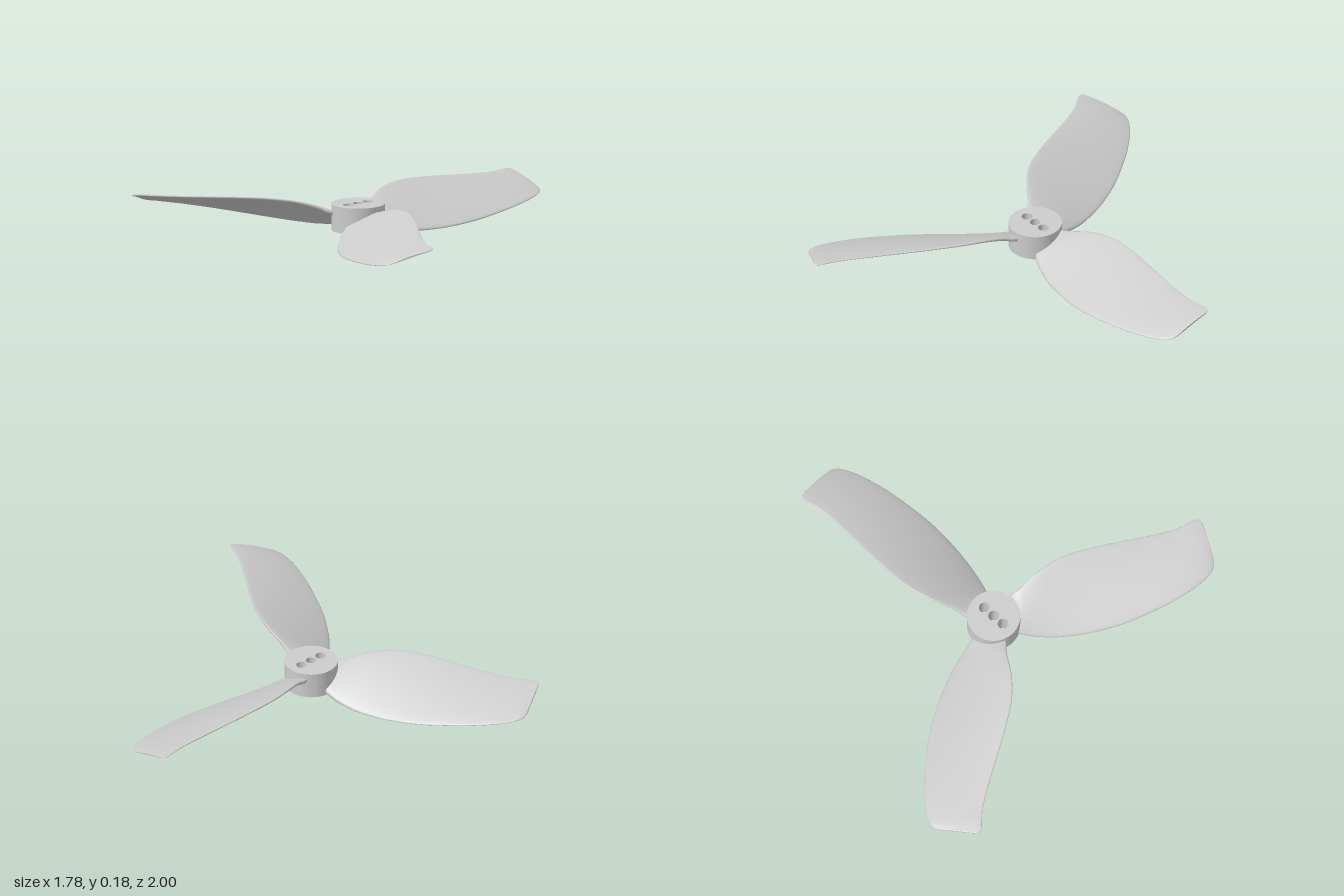
import * as THREE from 'three';
import { toCreasedNormals } from 'three/addons/utils/BufferGeometryUtils.js';

// Blade stations: radius, back z, front z, back y, front y, thickness
const STATIONS = [
  [0.095, -0.08, 0.08, 0.118, 0.045, 0.036],
  [0.125, -0.09, 0.096, 0.125, 0.036, 0.034],
  [0.17, -0.102, 0.115, 0.142, 0.023, 0.03],
  [0.26, -0.141, 0.144, 0.168, 0.011, 0.025],
  [0.36, -0.17, 0.165, 0.18, 0.009, 0.022],
  [0.46, -0.18, 0.178, 0.181, 0.012, 0.02],
  [0.61, -0.176, 0.183, 0.173, 0.023, 0.018],
  [0.81, -0.161, 0.163, 0.158, 0.044, 0.015],
  [0.955, -0.156, 0.131, 0.15, 0.06, 0.013],
  [1.03, -0.166, 0.102, 0.15, 0.069, 0.011],
  [1.065, -0.172, 0.081, 0.149, 0.075, 0.01],
  [1.085, -0.168, 0.06, 0.147, 0.079, 0.009],
  [1.093, -0.155, 0.042, 0.144, 0.084, 0.008],
  [1.096, -0.135, 0.015, 0.138, 0.092, 0.008],
];
const RINGS = 78, LOOP = 40;

function bladeGeometry() {
  const planCurve = new THREE.CatmullRomCurve3(STATIONS.map(s => new THREE.Vector3(s[0], s[1], s[2])), false, 'catmullrom');
  const pitchCurve = new THREE.CatmullRomCurve3(STATIONS.map(s => new THREE.Vector3(s[3], s[4], s[5])), false, 'catmullrom');
  const pos = [], idx = [];
  for (let i = 0; i <= RINGS; i++) {
    const plan = planCurve.getPoint(i / RINGS), pitch = pitchCurve.getPoint(i / RINGS);
    const chord = plan.z - plan.y;
    // Upper skin runs back to front, lower skin returns
    for (let j = 0; j < LOOP; j++) {
      const a = (j / LOOP) * Math.PI * 2;
      const t = (1 - Math.cos(a)) / 2;
      const camber = 0.1 * chord * t * (1 - t);
      const skin = Math.sign(Math.sin(a)) * Math.sqrt(Math.abs(Math.sin(a))) * pitch.z / 2;
      pos.push(plan.x, THREE.MathUtils.lerp(pitch.x, pitch.y, t) + camber + skin, plan.y + chord * t);
    }
  }
  for (let i = 0; i < RINGS; i++) {
    for (let j = 0; j < LOOP; j++) {
      const a = i * LOOP + j, b = i * LOOP + (j + 1) % LOOP;
      idx.push(a, b, a + LOOP, b, b + LOOP, a + LOOP);
    }
  }
  // Flat tip cap with its own vertices
  const start = pos.length / 3;
  pos.push(...pos.slice(RINGS * LOOP * 3));
  for (let j = 1; j < LOOP - 1; j++) idx.push(start, start + j, start + j + 1);

  const geo = new THREE.BufferGeometry();
  geo.setAttribute('position', new THREE.Float32BufferAttribute(pos, 3));
  geo.setIndex(idx);
  geo.computeVertexNormals();
  return geo;
}

// Short drum pierced by three mounting holes
function hubGeometry() {
  const shape = new THREE.Shape().absarc(0, 0, 0.128, 0, Math.PI * 2, false);
  for (const x of [-0.061, 0, 0.061]) {
    shape.holes.push(new THREE.Path().absarc(x, 0, 0.026, 0, Math.PI * 2, true));
  }
  const geo = new THREE.ExtrudeGeometry(shape, { depth: 0.128, bevelEnabled: false, curveSegments: 48 });
  geo.rotateX(-Math.PI / 2);
  geo.translate(0, 0.026, 0);
  return toCreasedNormals(geo, Math.PI / 6);
}

export function createModel() {
  const material = new THREE.MeshStandardMaterial({ color: 0xcccccc });
  const propeller = new THREE.Group();
  propeller.name = 'propeller';

  const hub = new THREE.Mesh(hubGeometry(), material);
  hub.name = 'hub';
  propeller.add(hub);

  // Three identical blades spaced evenly around the hub
  const blade = bladeGeometry();
  for (let k = 0; k < 3; k++) {
    const mesh = new THREE.Mesh(blade, material);
    mesh.name = 'blade' + (k + 1);
    mesh.rotation.y = (k * Math.PI * 2) / 3;
    propeller.add(mesh);
  }
  propeller.position.set(-0.206, 0, -0.025);

  const model = new THREE.Group();
  model.name = 'threeBladePropeller';
  model.add(propeller);
  return model;
}
